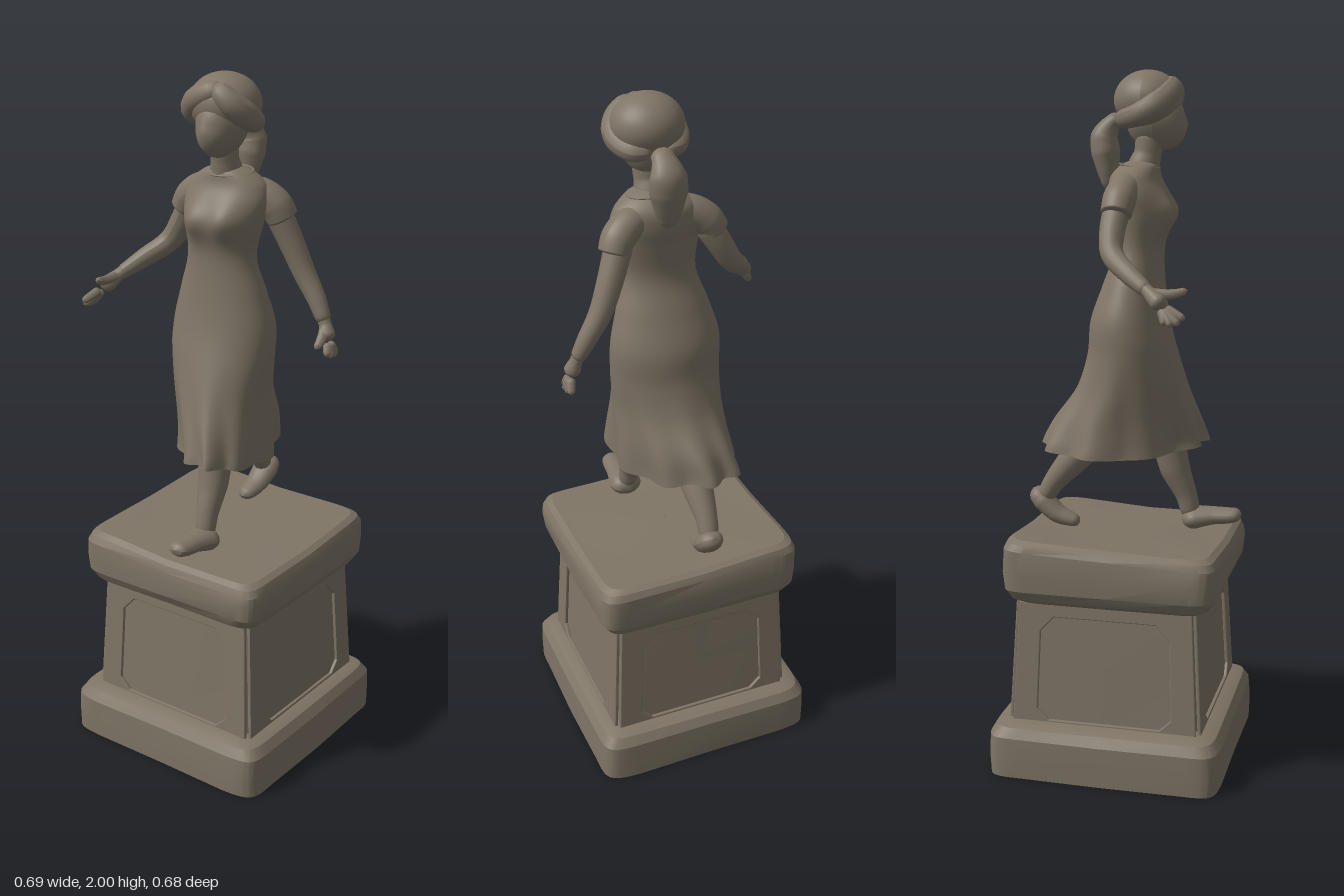
import * as THREE from 'three';
import { toCreasedNormals } from 'three/addons/utils/BufferGeometryUtils.js';

const V = (a) => new THREE.Vector3(a[0], a[1], a[2]);

export function createModel() {
  const root = new THREE.Group();
  root.name = 'statue';
  const stone = new THREE.MeshStandardMaterial({ color: 0x7f7566, side: THREE.DoubleSide });
  stone.name = 'weathered stone';

  function add(parent, geometry, name) {
    const mesh = new THREE.Mesh(geometry, stone);
    mesh.name = name;
    parent.add(mesh);
    return mesh;
  }

  // Skin over stacked sections, rows from the bottom up: [y, cx, cz, rx, rz]
  function loft(rows, { seg = 48, power = 2, steps = 0, warp = null } = {}) {
    let list = rows;
    if (steps) {
      const mid = new THREE.CatmullRomCurve3(rows.map((r) => new THREE.Vector3(r[1], r[0], r[2])));
      const rad = new THREE.CatmullRomCurve3(rows.map((r) => new THREE.Vector3(r[3], r[0], r[4])));
      list = Array.from({ length: steps + 1 }, (_, i) => {
        const c = mid.getPoint(i / steps), r = rad.getPoint(i / steps);
        return [c.y, c.x, c.z, r.x, r.z];
      });
    }
    const pos = [], idx = [], p = new THREE.Vector3();
    const sup = (v) => Math.sign(v) * Math.abs(v) ** (2 / power);
    list.forEach(([y, cx, cz, rx, rz], j) => {
      for (let i = 0; i < seg; i++) {
        const a = (i / seg) * Math.PI * 2;
        p.set(cx + rx * sup(Math.cos(a)), y, cz + rz * sup(Math.sin(a)));
        if (warp) warp(p, a);
        pos.push(p.x, p.y, p.z);
        if (j === list.length - 1) continue;
        const k = j * seg + i, n = j * seg + ((i + 1) % seg);
        idx.push(k, k + seg, n, n, k + seg, n + seg);
      }
    });
    const g = new THREE.BufferGeometry();
    g.setAttribute('position', new THREE.Float32BufferAttribute(pos, 3));
    g.setIndex(idx);
    g.computeVertexNormals();
    return g;
  }

  // Tapered limb with rounded ends, points: [x, y, z, radius]
  function limb(points, { cap = 1, wide = 1, steps = 32, seg = 16 } = {}) {
    const curve = new THREE.CatmullRomCurve3(points.map(V));
    const g = new THREE.TubeGeometry(curve, steps, 1, seg);
    const pos = g.attributes.position, len = curve.getLength(), p = new THREE.Vector3();
    for (let i = 0; i <= steps; i++) {
      const u = i / steps, c = curve.getPointAt(u);
      const t = curve.getUtoTmapping(u) * (points.length - 1);
      const k = Math.min(Math.floor(t), points.length - 2);
      let r = THREE.MathUtils.lerp(points[k][3], points[k + 1][3], t - k);
      const e = Math.min(1, (Math.min(u, 1 - u) * len) / (r * cap));
      r *= Math.max(0.01, Math.sqrt(1 - (1 - e) ** 2));
      for (let j = 0; j <= seg; j++) {
        const n = i * (seg + 1) + j;
        p.fromBufferAttribute(pos, n).sub(c).multiplyScalar(r);
        pos.setXYZ(n, c.x + p.x * wide, c.y + p.y, c.z + p.z);
      }
    }
    g.computeVertexNormals();
    return g;
  }

  function ellipsoid(c, r, warp) {
    const g = new THREE.SphereGeometry(1, 32, 24);
    const pos = g.attributes.position, p = new THREE.Vector3();
    for (let i = 0; i < pos.count; i++) {
      p.fromBufferAttribute(pos, i);
      if (warp) warp(p);
      pos.setXYZ(i, c[0] + p.x * r[0], c[1] + p.y * r[1], c[2] + p.z * r[2]);
    }
    g.computeVertexNormals();
    return g;
  }

  // ---- Pedestal: a hollow shell, open underneath, with a sagging top ----
  const pedestal = new THREE.Group();
  pedestal.name = 'pedestal';
  root.add(pedestal);
  const weather = (p) => {
    const w = 0.008 * Math.sin(p.x * 19 + p.y * 37 + 1) * Math.cos(p.z * 17 - p.y * 23);
    p.x *= 1 + w;
    p.z *= 1 - w;
    if (p.y > 0.62) p.y += 0.004 * Math.sin(p.x * 14 + 1) * Math.cos(p.z * 12) - 0.04 * p.x - 0.045 * p.z;
  };
  const slab = (rows, x, z, name) => add(pedestal, toCreasedNormals(
    loft(rows.map(([y, h]) => [y, x, z, h, h]), { seg: 64, power: 13, warp: weather }), 0.4), name);
  slab([[0, 0.34], [0.06, 0.341], [0.118, 0.339], [0.145, 0.322], [0.156, 0.295], [0.158, 0.268]],
    0.001, -0.002, 'plinthBase');
  slab([[0.15, 0.274], [0.33, 0.264], [0.51, 0.254]], 0.006, -0.003, 'pedestalCore');
  slab([[0.505, 0.25], [0.507, 0.27], [0.52, 0.29], [0.55, 0.307], [0.6, 0.311], [0.645, 0.309], [0.664, 0.3],
    [0.674, 0.284], [0.674, 0.2], [0.673, 0.1], [0.673, 0.001]], 0.009, 0.006, 'pedestalCap');

  // Raised frame round a sunken panel with clipped corners, on each side
  const outline = (pts, T) => {
    const s = new T();
    pts.forEach(([x, y], i) => (i ? s.lineTo(x, y) : s.moveTo(x, y)));
    s.closePath();
    return s;
  };
  const frame = outline([[-0.268, 0], [0.268, 0], [0.25, 0.36], [-0.25, 0.36]], THREE.Shape);
  frame.holes.push(outline([[-0.2, 0.045], [-0.192, 0.28], [-0.15, 0.325], [0.15, 0.325],
    [0.192, 0.28], [0.2, 0.045], [0.165, 0.012], [-0.165, 0.012]], THREE.Path));
  const frameGeo = new THREE.ExtrudeGeometry(frame, {
    depth: 0.005, bevelEnabled: true, bevelSize: 0.003, bevelThickness: 0.003, bevelSegments: 2 });
  frameGeo.rotateX(-0.055);
  frameGeo.translate(0, 0.148, 0.276);
  for (let i = 0; i < 4; i++) {
    const m = add(pedestal, frameGeo, 'panelFrame');
    m.position.set(0.006, 0, -0.003);
    m.rotation.y = (i * Math.PI) / 2;
  }

  // ---- Figure ----
  const figure = new THREE.Group();
  figure.name = 'walkingWoman';
  root.add(figure);

  // Dress: fitted bodice, flared skirt with folds, drawn out over the leading leg
  const bump = (p, x, y, s) => Math.exp(-((p.x - x) ** 2 + (p.y - y) ** 2) / (s * s));
  const drape = (p, a) => {
    const k = THREE.MathUtils.clamp((1.24 - p.y) / 0.3, 0, 1);
    const f = 1 + 0.065 * k * k * Math.cos(9 * a + 0.6);
    const ahead = Math.max(0, p.z) * k;
    p.x = p.x * f * (1 - 1.3 * ahead) + 0.21 * k * p.z + 0.14 * ahead;
    p.z *= f;
    p.y += 0.03 * k ** 4 * (Math.sin(a) ** 2 - 0.55) - 0.06 * k ** 4 * Math.min(p.x, 0) * (1 - Math.sin(a) ** 2);
    if (Math.sin(a) > 0) {
      p.z += 0.032 * (bump(p, -0.025, 1.605, 0.05) + bump(p, 0.085, 1.605, 0.05)) * Math.sin(a);
    }
  };
  add(figure, loft([
    [0.92, -0.005, -0.005, 0.155, 0.228],
    [1.0, 0.0, 0.0, 0.152, 0.205],
    [1.1, 0.0, 0.016, 0.153, 0.16],
    [1.2, 0.004, 0.018, 0.159, 0.13],
    [1.3, 0.006, 0.01, 0.16, 0.112],
    [1.4, 0.01, 0.02, 0.135, 0.088],
    [1.5, 0.015, 0.034, 0.107, 0.07],
    [1.6, 0.022, 0.035, 0.122, 0.08],
    [1.66, 0.026, 0.026, 0.13, 0.08],
    [1.705, 0.03, 0.02, 0.115, 0.07],
    [1.737, 0.034, 0.03, 0.072, 0.054],
    [1.752, 0.036, 0.036, 0.03, 0.03],
  ], { seg: 96, steps: 66, warp: drape }), 'dress');
  add(figure, loft([
    [0.925, -0.005, -0.005, 0.15, 0.221], [1.0, 0, 0, 0.143, 0.193], [1.03, 0, 0, 0.09, 0.12],
    [1.035, 0, 0, 0.001, 0.001],
  ], { seg: 96, warp: drape }), 'skirtLining');
  const collar = new THREE.TorusGeometry(1, 0.05, 8, 40);
  collar.rotateX(Math.PI / 2);
  collar.scale(0.073, 0.06, 0.056);
  collar.rotateX(0.12);
  collar.translate(0.034, 1.734, 0.03);
  add(figure, collar, 'neckline');

  // Head, neck and hair
  add(figure, limb([[0.034, 1.68, 0.03, 0.056], [0.035, 1.735, 0.042, 0.046], [0.037, 1.77, 0.052, 0.039],
    [0.04, 1.85, 0.06, 0.042]]), 'neck');
  add(figure, ellipsoid([0.045, 1.865, 0.072], [0.066, 0.088, 0.084], (p) => {
    if (p.y < 0) {
      p.x *= 1 + 0.25 * p.y;
      p.z -= 0.25 * p.y * Math.max(0, p.z + 0.4);
    }
    p.z += 0.08 * Math.exp(-(p.x ** 2 * 30 + (p.y + 0.1) ** 2 * 18)) * (p.z > 0 ? 1 : 0);
  }), 'face');
  add(figure, ellipsoid([0.038, 1.917, 0.052], [0.101, 0.083, 0.096]), 'hair');
  const fringe = (name, points) => add(figure, limb(points, { steps: 40 }), name);
  fringe('rightFringe', [[0.075, 1.965, 0.1, 0.02], [0.045, 1.952, 0.115, 0.032], [-0.005, 1.93, 0.113, 0.036],
    [-0.038, 1.9, 0.085, 0.038], [-0.043, 1.878, 0.045, 0.034], [-0.02, 1.866, 0, 0.028], [0.02, 1.868, -0.015, 0.02]]);
  fringe('leftFringe', [[0.05, 1.965, 0.1, 0.02], [0.073, 1.95, 0.115, 0.03], [0.1, 1.925, 0.108, 0.035],
    [0.117, 1.9, 0.08, 0.037], [0.117, 1.88, 0.045, 0.034], [0.095, 1.867, 0, 0.028], [0.05, 1.868, -0.015, 0.02]]);
  add(figure, limb([
    [0.034, 1.87, -0.02, 0.022], [0.032, 1.852, -0.05, 0.026], [0.03, 1.815, -0.072, 0.039],
    [0.027, 1.77, -0.068, 0.041], [0.024, 1.715, -0.06, 0.03], [0.021, 1.665, -0.054, 0.016],
  ], { wide: 1.3 }), 'ponytail');

  // Arms, with short sleeves and open hands
  function arm(side, sleeve, path, palm, tips, thumb) {
    const g = new THREE.Group();
    g.name = side + 'Arm';
    figure.add(g);
    add(g, limb(sleeve, { cap: 0.2, steps: 48, seg: 24 }), side + 'Sleeve');
    add(g, limb(path), side + 'Forearm');
    const wrist = V(path[path.length - 1]), hand = V(palm);
    const back = wrist.clone().lerp(V(path[path.length - 2]), 0.45);
    const heel = wrist.clone().lerp(hand, 0.4);
    add(g, limb([[...back, 0.019], [...wrist, 0.018], [...heel, 0.022], palm]), side + 'Palm');
    tips.forEach((tip) => {
      const t = V(tip), knuckle = hand.clone().lerp(t, 0.3).lerp(heel, 0.25);
      add(g, limb([[...knuckle, 0.013], [...hand.clone().lerp(t, 0.65), 0.012], [...t, 0.009]],
        { steps: 14, seg: 8 }), side + 'Finger');
    });
    add(g, limb([[...wrist, 0.014], [...heel.clone().lerp(V(thumb), 0.5), 0.014], [...thumb, 0.009]],
      { steps: 14, seg: 8 }), side + 'Thumb');
  }
  arm('right',
    [[-0.02, 1.682, 0.02, 0.045], [-0.072, 1.67, 0.01, 0.046], [-0.112, 1.643, 0.005, 0.047],
      [-0.14, 1.602, 0.002, 0.043]],
    [[-0.1, 1.65, 0.005, 0.04], [-0.153, 1.565, -0.004, 0.036], [-0.192, 1.505, 0.005, 0.032],
      [-0.245, 1.455, 0.065, 0.027], [-0.287, 1.412, 0.13, 0.019]],
    [-0.312, 1.378, 0.172, 0.026],
    [[-0.33, 1.35, 0.236], [-0.339, 1.335, 0.222], [-0.342, 1.33, 0.202], [-0.338, 1.332, 0.182]],
    [-0.275, 1.42, 0.232]);
  arm('left',
    [[0.075, 1.682, 0.01, 0.045], [0.12, 1.67, -0.01, 0.046], [0.153, 1.643, -0.024, 0.047],
      [0.172, 1.602, -0.036, 0.043]],
    [[0.145, 1.65, -0.025, 0.04], [0.188, 1.54, -0.052, 0.036], [0.224, 1.455, -0.066, 0.032],
      [0.265, 1.385, -0.068, 0.027], [0.297, 1.322, -0.063, 0.02]],
    [0.313, 1.278, -0.055, 0.026],
    [[0.32, 1.235, -0.088], [0.326, 1.23, -0.07], [0.328, 1.232, -0.05], [0.324, 1.24, -0.032]],
    [0.302, 1.265, -0.008]);

  // Legs in mid stride: left heel planted in front, right toes behind
  add(figure, limb([[0.05, 1.05, 0.08, 0.06], [0.052, 0.93, 0.115, 0.05], [0.055, 0.85, 0.135, 0.045],
    [0.06, 0.77, 0.168, 0.032], [0.063, 0.7, 0.185, 0.028]]), 'leftLeg');
  add(figure, limb([[0.063, 0.692, 0.155, 0.03], [0.066, 0.702, 0.195, 0.034], [0.068, 0.71, 0.25, 0.026],
    [0.068, 0.713, 0.3, 0.023], [0.068, 0.72, 0.333, 0.018]], { wide: 1.45 }), 'leftFoot');
  add(figure, limb([[-0.02, 1.05, -0.04, 0.06], [-0.024, 0.93, -0.115, 0.05], [-0.028, 0.87, -0.165, 0.043],
    [-0.03, 0.81, -0.215, 0.032], [-0.028, 0.75, -0.25, 0.026]]), 'rightLeg');
  add(figure, limb([[-0.022, 0.785, -0.283, 0.024], [-0.026, 0.75, -0.248, 0.032], [-0.03, 0.715, -0.207, 0.028],
    [-0.032, 0.7, -0.17, 0.023], [-0.034, 0.692, -0.135, 0.016]], { wide: 1.3 }), 'rightFoot');

  return root;
}
